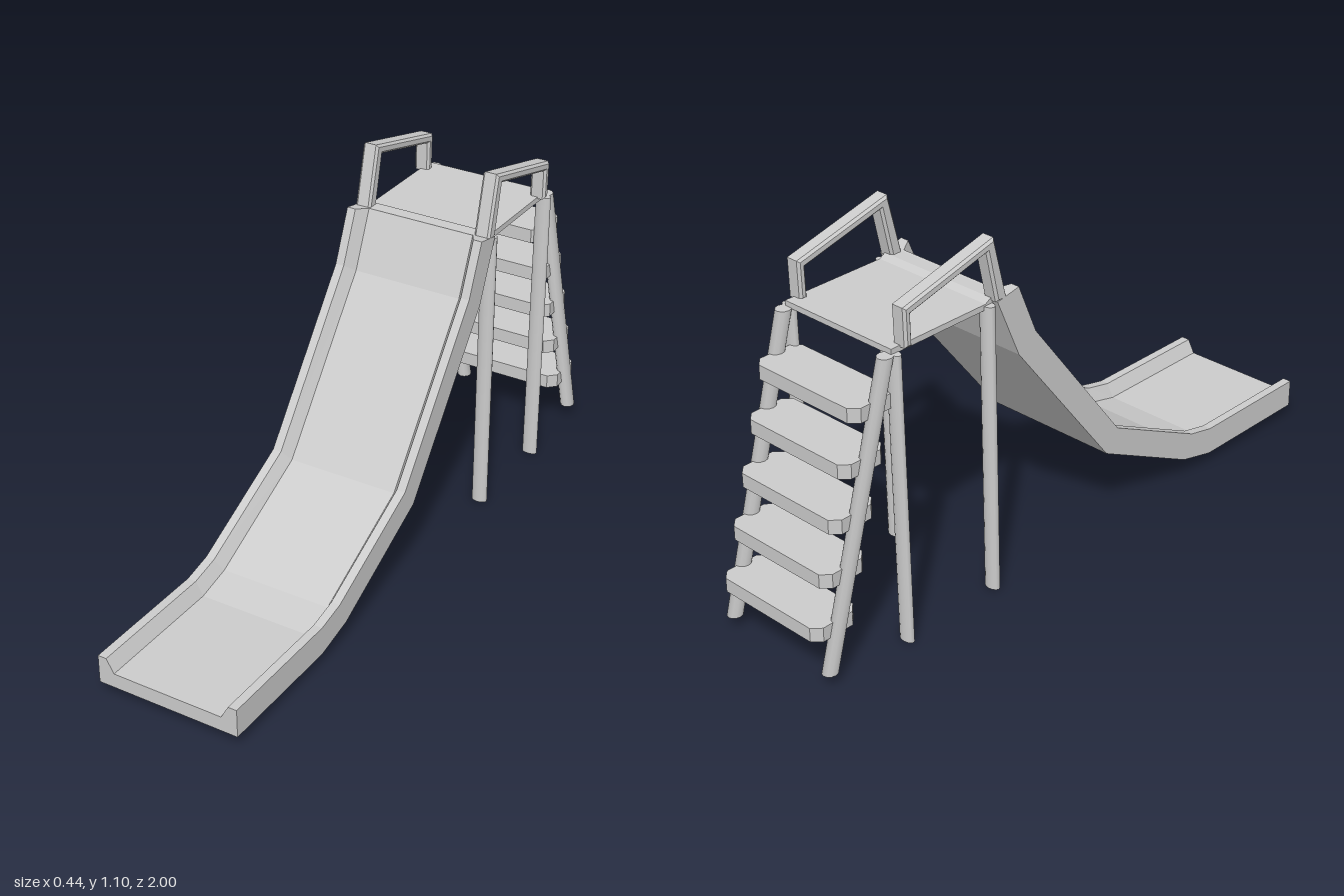
import * as THREE from 'three';

const material = new THREE.MeshStandardMaterial({ color: 0xcccccc, flatShading: true });
const smooth = new THREE.MeshStandardMaterial({ color: 0xcccccc });

function add(parent, name, geometry, mat = material) {
  const mesh = new THREE.Mesh(geometry, mat);
  mesh.name = name;
  parent.add(mesh);
  return mesh;
}

// Side profile given as [z, y], extruded along x and centred on x = 0
function sideExtrude(points, width, bevel = 0) {
  const shape = new THREE.Shape(points.map(([z, y]) => new THREE.Vector2(z, y)));
  const depth = width - 2 * bevel;
  const geo = new THREE.ExtrudeGeometry(shape, {
    depth, bevelEnabled: bevel > 0, bevelThickness: bevel,
    bevelSize: bevel, bevelOffset: -bevel, bevelSegments: 1,
  });
  return geo.translate(0, 0, -depth / 2).rotateY(-Math.PI / 2);
}

// Oval pole with level ends, leaning from (y0, z0) up to (y1, z1)
function pole(x, y0, z0, y1, z1, rx, rz) {
  const h = y1 - y0;
  const geo = new THREE.CylinderGeometry(1, 1, h, 12).scale(rx, 1, rz);
  const p = geo.attributes.position;
  for (let i = 0; i < p.count; i++) {
    const t = p.getY(i) / h + 0.5;
    p.setXYZ(i, p.getX(i) + x, y0 + t * h, p.getZ(i) + z0 + t * (z1 - z0));
  }
  return geo;
}

// U-shaped chute: one cross-section per station, joined in a loop
function chuteGeometry() {
  // [bottom z, bottom y, rim z, rim y]
  const stations = [
    [1, 0.04, 1, 0.127], [0.59, 0.04, 0.59, 0.127], [0.467, 0.07, 0.5, 0.147],
    [0.103, 0.252, 0.15, 0.318], [-0.266, 0.723, -0.2, 0.77], [-0.347, 0.91, -0.266, 0.926],
  ];
  // [x, height fraction between bottom and rim]
  const section = [
    [-0.222, 0], [0.222, 0], [0.222, 1], [0.195, 1],
    [0.172, 0.52], [-0.172, 0.52], [-0.195, 1], [-0.222, 1],
  ];
  const n = section.length;
  const pos = [], index = [];
  for (const [bz, by, tz, ty] of stations) {
    for (const [x, f] of section) pos.push(x, by + (ty - by) * f, bz + (tz - bz) * f);
  }
  for (let s = 0; s < stations.length - 1; s++) {
    for (let i = 0; i < n; i++) {
      const a = s * n + i, b = s * n + (i + 1) % n;
      index.push(a, a + n, b, b, a + n, b + n);
    }
  }
  // End caps
  const outline = section.map(([x, f]) => new THREE.Vector2(x, f));
  const last = (stations.length - 1) * n;
  for (const [a, b, c] of THREE.ShapeUtils.triangulateShape(outline, [])) {
    index.push(a, b, c, last + a, last + c, last + b);
  }
  const geo = new THREE.BufferGeometry();
  geo.setAttribute('position', new THREE.Float32BufferAttribute(pos, 3));
  geo.setIndex(index);
  const flat = geo.toNonIndexed();
  flat.computeVertexNormals();
  return flat;
}

// Ladder tread with clipped corners
function treadGeometry(width, depth, height, clip) {
  const w = width / 2, d = depth / 2;
  const pts = [
    [-w + clip, -d], [w - clip, -d], [w, -d + clip], [w, d - clip],
    [w - clip, d], [-w + clip, d], [-w, d - clip], [-w, -d + clip],
  ];
  const shape = new THREE.Shape(pts.map(([x, y]) => new THREE.Vector2(x, y)));
  const geo = new THREE.ExtrudeGeometry(shape, { depth: height, bevelEnabled: false });
  return geo.translate(0, 0, -height / 2).rotateX(-Math.PI / 2);
}

export function createModel() {
  const model = new THREE.Group();
  model.name = 'playgroundSlide';

  add(model, 'chute', chuteGeometry());

  // Platform with a small lip that meets the head of the chute
  add(model, 'platform', sideExtrude([
    [-0.71, 0.888], [-0.345, 0.888], [-0.305, 0.917], [-0.35, 0.917],
    [-0.37, 0.905], [-0.71, 0.905],
  ], 0.4));

  const railProfile = [
    [-0.308, 0.908], [-0.355, 1.098], [-0.682, 1.015], [-0.679, 0.9],
    [-0.654, 0.9], [-0.656, 0.992], [-0.382, 1.062], [-0.348, 0.908],
  ];

  for (const [side, s] of [['left', 1], ['right', -1]]) {
    add(model, side + 'Handrail', sideExtrude(railProfile, 0.05, 0.007)).position.x = s * 0.197;
    add(model, side + 'FrontLeg', pole(s * 0.197, 0.008, -0.35, 0.9, -0.36, 0.025, 0.016), smooth);
    add(model, side + 'RearLeg', pole(s * 0.197, 0.003, -0.684, 0.89, -0.699, 0.025, 0.014), smooth);
    add(model, side + 'LadderRail', pole(s * 0.192, 0.04, -0.959, 0.89, -0.724, 0.022, 0.024), smooth);
  }

  // Ladder treads, evenly spaced up the rails
  const ladder = new THREE.Group();
  ladder.name = 'ladderTreads';
  model.add(ladder);
  for (let i = 0; i < 5; i++) {
    add(ladder, 'tread' + (i + 1), treadGeometry(0.385, 0.152, 0.043, 0.025))
      .position.set(0, 0.168 + i * 0.1465, -0.924 + i * 0.0405);
  }
  return model;
}
